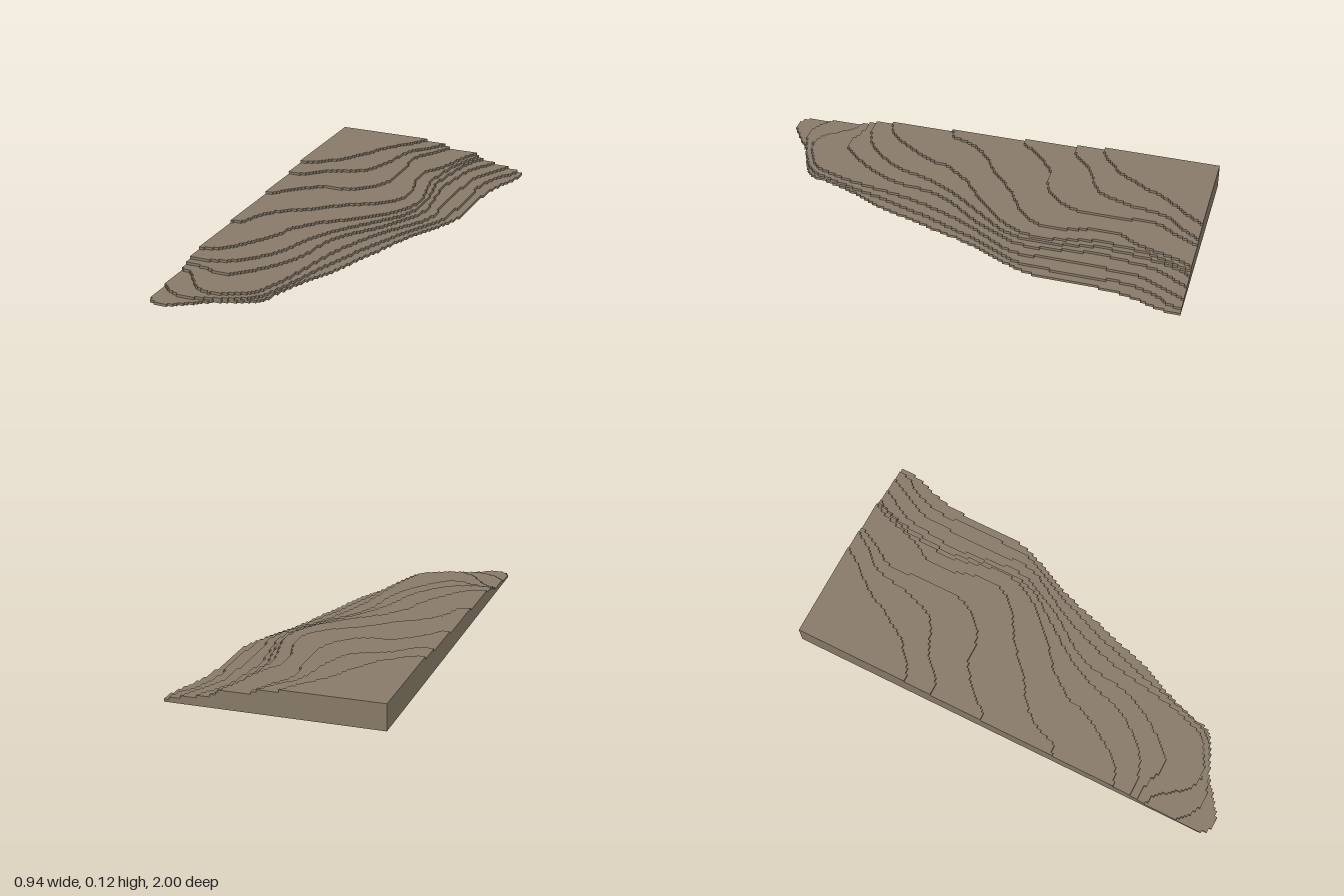
import * as THREE from 'three';

const LEFT = -0.467, BACK = -1, CELL = 2 / 171, LAYER = 0.0115;

// Trace a smooth contour (x, z pairs, left edge to back edge) as square grid steps.
function steppedOutline(flat) {
  const pts = [];
  for (let i = 0; i < flat.length; i += 2) pts.push(new THREE.Vector2(flat[i], flat[i + 1]));
  const out = [[0, 0]];
  for (const p of new THREE.SplineCurve(pts).getPoints(900)) {
    const i = THREE.MathUtils.clamp(Math.round((p.x - LEFT) / CELL), 0, 80);
    const j = THREE.MathUtils.clamp(Math.round((p.y - BACK) / CELL), 0, 171);
    const [a, b] = out[out.length - 1];
    if (i === a && j === b) continue;
    if (i !== a && j !== b) out.push([i, b]);
    out.push([i, j]);
  }
  if (out[out.length - 1][0] === 0 && out[out.length - 1][1] === 0) out.pop();
  return new THREE.Shape(out.map(([i, j]) => new THREE.Vector2(LEFT + i * CELL, -(BACK + j * CELL))));
}

export function createModel() {
  const group = new THREE.Group();
  group.name = 'terracedHill';
  const earth = new THREE.MeshStandardMaterial({ color: 0x8b7d6b });
  earth.name = 'earth brown';

  // Each call stacks the next, smaller layer on top.
  let level = 0;
  const addLayer = (...contour) => {
    const geo = new THREE.ExtrudeGeometry(steppedOutline(contour), { depth: LAYER, bevelEnabled: false });
    geo.rotateX(-Math.PI / 2);
    const mesh = new THREE.Mesh(geo, earth);
    mesh.position.y = level * LAYER;
    mesh.name = `terrace${++level}`;
    group.add(mesh);
  };

  // Low terraces
  addLayer(LEFT, 0.96, -0.44, 0.99, -0.39, 1, -0.32, 0.96, -0.22, 0.89, -0.1, 0.84, -0.04, 0.8, -0.01, 0.7,
    0.04, 0.56, 0.1, 0.44, 0.15, 0.28, 0.2, 0.13, 0.24, 0, 0.3, -0.14, 0.36, -0.27, 0.385, -0.38,
    0.39, -0.6, 0.41, -0.76, 0.45, -0.88, 0.467, -0.95, 0.467, BACK);
  addLayer(LEFT, 0.835, -0.43, 0.88, -0.35, 0.92, -0.26, 0.9, -0.15, 0.86, -0.06, 0.8, -0.02, 0.7,
    0.02, 0.57, 0.05, 0.45, 0.09, 0.33, 0.13, 0.2, 0.18, 0.07, 0.24, -0.08, 0.3, -0.19, 0.335, -0.28,
    0.345, -0.4, 0.35, -0.58, 0.345, -0.7, 0.36, -0.8, 0.39, -0.88, 0.43, -0.94, 0.445, BACK);
  addLayer(LEFT, 0.7, -0.41, 0.72, -0.36, 0.79, -0.3, 0.85, -0.24, 0.865, -0.15, 0.83, -0.08, 0.78,
    -0.03, 0.65, 0, 0.52, 0.02, 0.4, 0.05, 0.27, 0.09, 0.15, 0.14, 0.03, 0.2, -0.08, 0.26, -0.18,
    0.29, -0.28, 0.28, -0.4, 0.28, -0.55, 0.29, -0.68, 0.3, -0.8, 0.35, -0.9, 0.4, BACK);
  addLayer(LEFT, 0.655, -0.38, 0.67, -0.3, 0.7, -0.24, 0.685, -0.17, 0.61, -0.1, 0.51, -0.05, 0.4,
    -0.03, 0.28, 0, 0.17, 0.06, 0.07, 0.12, -0.01, 0.18, -0.12, 0.235, -0.24, 0.24, -0.36, 0.22, -0.5,
    0.215, -0.62, 0.23, -0.74, 0.25, -0.85, 0.29, -0.93, 0.33, BACK);

  // Middle terraces
  addLayer(LEFT, 0.63, -0.38, 0.62, -0.28, 0.58, -0.2, 0.5, -0.14, 0.4, -0.1, 0.28, -0.06, 0.18,
    0, 0.08, 0.06, 0, 0.12, -0.08, 0.18, -0.17, 0.21, -0.27, 0.215, -0.38, 0.195, -0.5,
    0.18, -0.6, 0.19, -0.72, 0.21, -0.85, 0.24, -0.95, 0.275, BACK);
  addLayer(LEFT, 0.545, -0.4, 0.52, -0.35, 0.48, -0.28, 0.38, -0.22, 0.27, -0.2, 0.2, -0.16, 0.14,
    -0.1, 0.07, 0.02, -0.03, 0.1, -0.11, 0.15, -0.18, 0.19, -0.27, 0.195, -0.38, 0.17, -0.5,
    0.155, -0.6, 0.165, -0.7, 0.18, -0.8, 0.21, -0.9, 0.25, BACK);
  addLayer(LEFT, 0.25, -0.42, 0.23, -0.39, 0.16, -0.36, 0.1, -0.3, 0.04, -0.22, -0.01, -0.15, -0.07,
    -0.08, -0.13, 0, -0.18, 0.06, -0.22, 0.11, -0.28, 0.135, -0.37, 0.12, -0.46, 0.1, -0.52,
    0.09, -0.6, 0.1, -0.67, 0.14, -0.74, 0.17, -0.82, 0.19, -0.9, 0.235, BACK);

  // High terraces
  addLayer(LEFT, -0.1, -0.43, -0.11, -0.38, -0.17, -0.3, -0.24, -0.25, -0.27, -0.18, -0.275, -0.1, -0.31,
    -0.04, -0.37, 0, -0.47, 0.005, -0.6, -0.01, -0.75, 0, -0.82, 0.05, -0.9, 0.1, BACK);
  addLayer(LEFT, -0.34, -0.39, -0.36, -0.33, -0.42, -0.26, -0.46, -0.19, -0.49, -0.14, -0.53, -0.11, -0.6,
    -0.08, -0.7, -0.07, -0.78, -0.04, -0.86, 0.01, -0.91, 0.07, BACK);
  addLayer(LEFT, -0.47, -0.41, -0.49, -0.36, -0.53, -0.3, -0.58, -0.25, -0.66, -0.21, -0.72, -0.18, -0.79,
    -0.12, -0.87, -0.07, -0.93, -0.02, BACK);
  return group;
}
